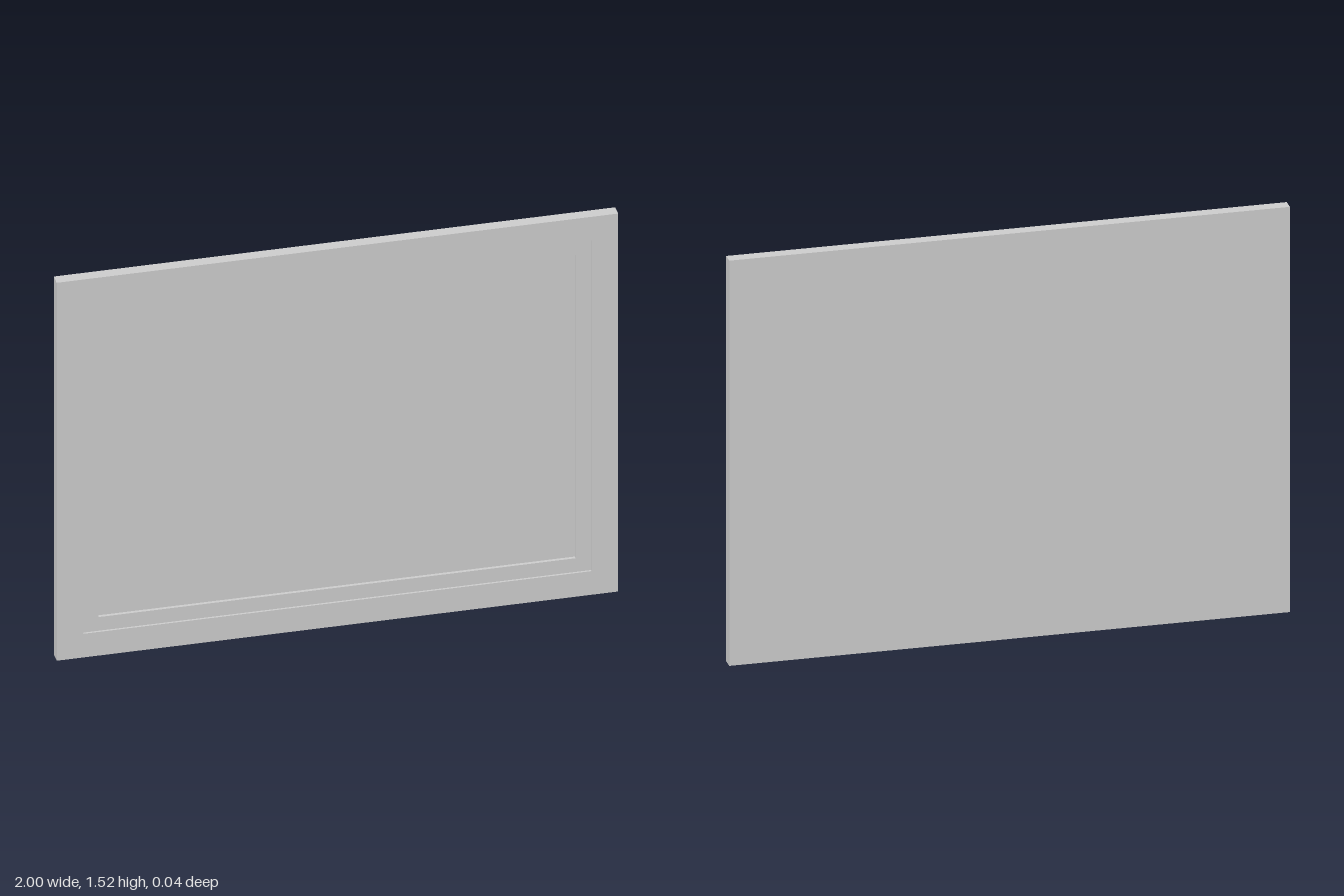
import * as THREE from 'three';

const W = 2, H = 1.52, D = 0.044; // overall size
const BAR = 0.095;                // width of the frame bars
const MAT = 0.055;                // visible width of the mat

export function createModel() {
  const group = new THREE.Group();
  const material = new THREE.MeshStandardMaterial({ color: 0xcccccc, flatShading: true });

  // Box given by its centre in x and y and its back and front z
  function slab(name, w, h, x, y, back, front) {
    const mesh = new THREE.Mesh(new THREE.BoxGeometry(w, h, front - back), material);
    mesh.position.set(x, y, (back + front) / 2);
    mesh.name = name;
    group.add(mesh);
  }

  // Border of four bars: full-width rails, with stiles between them
  function border(name, w, h, bar, back, front) {
    for (const s of [-1, 1]) {
      slab(name + (s > 0 ? 'TopRail' : 'BottomRail'), w, bar, 0, H / 2 + s * (h - bar) / 2, back, front);
      slab(name + (s > 0 ? 'LeftStile' : 'RightStile'), bar, h - 2 * bar, s * (w - bar) / 2, H / 2, back, front);
    }
  }

  const innerW = W - 2 * BAR, innerH = H - 2 * BAR;

  // Outer frame
  border('frame', W, H, BAR, -D / 2, D / 2);

  // Backing panel, flush with the back of the frame, carrying the picture face
  slab('picturePanel', innerW, innerH, 0, H / 2, -D / 2, 0.002);

  // Raised mat, set back from the front of the frame
  border('mat', innerW, innerH, MAT, 0.002, 0.014);

  return group;
}
